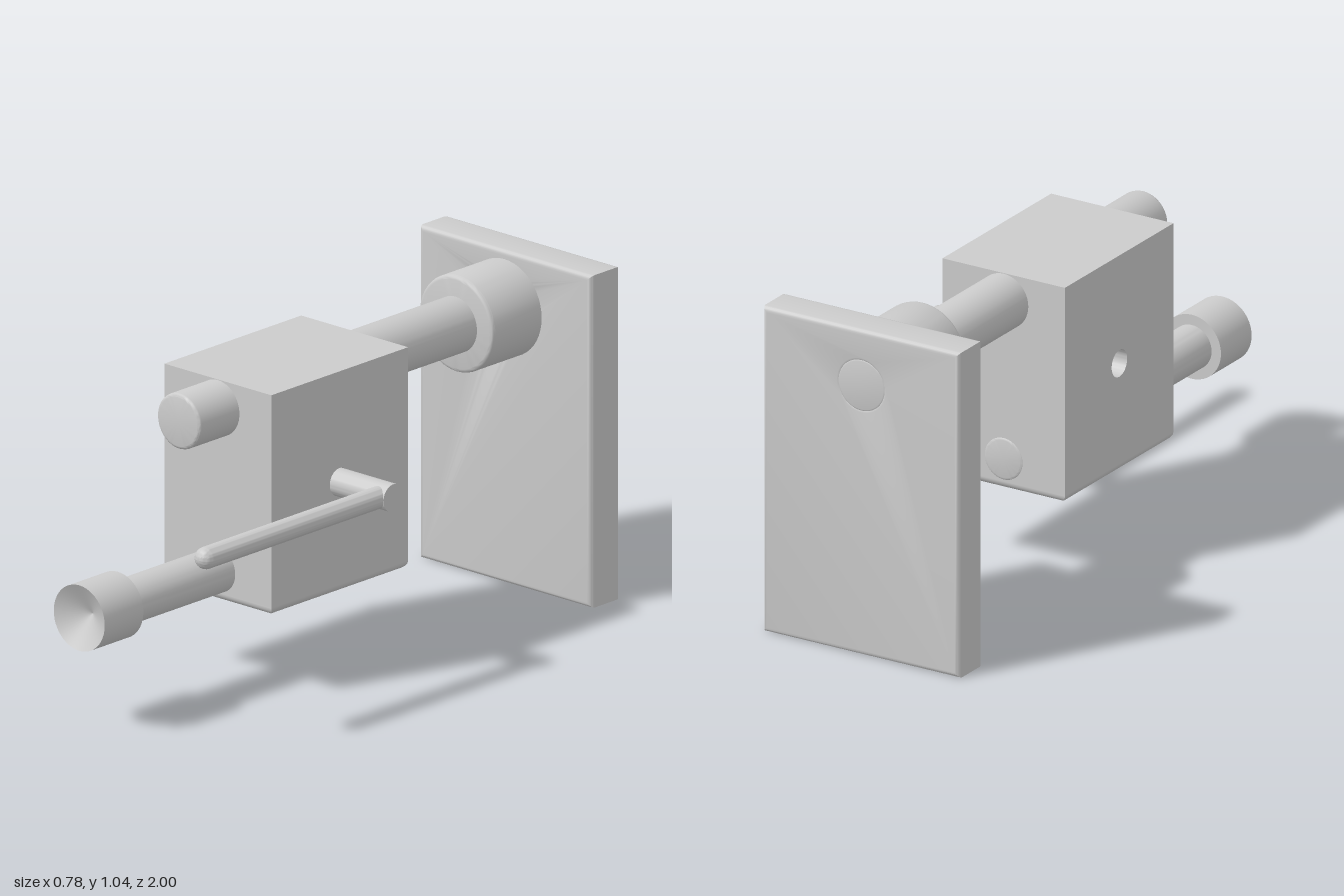
import * as THREE from 'three';
import { toCreasedNormals } from 'three/addons/utils/BufferGeometryUtils.js';

const material = new THREE.MeshStandardMaterial({ color: 0xcccccc });
const AXIS_X = -0.045; // shared x of the rods, block and plate

function part(name, geometry) {
  const mesh = new THREE.Mesh(toCreasedNormals(geometry, 0.62), material);
  mesh.name = name;
  return mesh;
}

// Turned profile along y from a to b, with rounded rims of radius ra and rb
function turned(r, a, b, ra, rb) {
  const pts = [new THREE.Vector2(0, a)];
  const arc = (c, y, sign, from, to) => {
    const n = c > 0.02 ? 8 : c > 0 ? 3 : 0;
    for (let i = 0; i <= n; i++) {
      const t = n ? from + ((to - from) * i) / n : 0;
      const x = Math.max(0, r - c + c * Math.cos(t));
      pts.push(new THREE.Vector2(x, y + sign * c * Math.sin(t)));
    }
  };
  arc(ra, a + ra, -1, Math.PI / 2, 0);
  arc(rb, b - rb, 1, 0, Math.PI / 2);
  pts.push(new THREE.Vector2(0, b));
  return new THREE.LatheGeometry(pts, 48);
}

const rodZ = (name, x, y, r, z0, z1, ra = 0, rb = 0) =>
  part(name, turned(r, z0, z1, ra, rb).rotateX(Math.PI / 2).translate(x, y, 0));

function rectangle(x0, y0, x1, y1) {
  return new THREE.Shape([[x0, y0], [x1, y0], [x1, y1], [x0, y1]]
    .map(([x, y]) => new THREE.Vector2(x, y)));
}

function addHole(shape, x, y, r) {
  shape.holes.push(new THREE.Path().absarc(x, y, r, 0, Math.PI * 2, true));
}

// Slab of given thickness from z = 0, edges filleted on both faces
function filletedSlab(shape, thickness, fillet) {
  return new THREE.ExtrudeGeometry(shape, {
    depth: thickness - 2 * fillet, bevelThickness: fillet, bevelSize: fillet,
    bevelOffset: -fillet, bevelSegments: 4, curveSegments: 24,
  }).translate(0, 0, fillet);
}

export function createModel() {
  const group = new THREE.Group();

  // Upright mounting plate, with the rod end showing flush in its back
  const plateShape = rectangle(-0.39, 0, 0.305, 1.045);
  addHole(plateShape, AXIS_X, 0.868, 0.071);
  group.add(part('mountingPlate', filletedSlab(plateShape, 0.13, 0.016).translate(0, 0, -1)));

  // Collar and main rod
  group.add(rodZ('collar', AXIS_X, 0.868, 0.151, -0.88, -0.655, 0, 0.012));
  group.add(rodZ('mainRod', AXIS_X, 0.868, 0.087, -1, 0.565, 0.01, 0.01));

  // Sliding block with a cross hole, its lower edges filleted
  const fillet = 0.025, bottom = 0.263, z0 = -0.212, z1 = 0.39;
  const x0 = -0.261, x1 = 0.171;
  const side = rectangle(-z1, bottom + fillet, -z0, 0.957);
  addHole(side, -0.09, 0.61, 0.043);
  group.add(part('block', new THREE.ExtrudeGeometry(side, {
    depth: x1 - x0, bevelEnabled: false, curveSegments: 24,
  }).rotateY(Math.PI / 2).translate(x0, 0, 0)));
  const base = filletedSlab(rectangle(x0, z0, x1, z1), 2 * fillet + 0.001, fillet);
  group.add(part('blockBase', base.rotateX(Math.PI / 2)
    .translate(0, bottom + 2 * fillet, 0)));

  // Lower rod with a hollow conical cup at the front
  group.add(rodZ('lowerRod', AXIS_X, 0.36, 0.07, z0 - 0.003, 0.85, 0.01, 0));
  const cup = [[0, 0.83], [0.103, 0.83], [0.103, 1], [0, 0.94]]
    .map(([r, z]) => new THREE.Vector2(r, z));
  group.add(part('cup', new THREE.LatheGeometry(cup, 48)
    .rotateX(Math.PI / 2).translate(AXIS_X, 0.36, 0)));

  // Clamping lever: cross shaft and round-ended handle
  group.add(part('leverShaft', turned(0.043, -0.16, 0.388, 0, 0)
    .rotateZ(-Math.PI / 2).translate(0, 0.609, 0.09)));
  group.add(rodZ('leverHandle', 0.353, 0.61, 0.034, 0.09, 0.91, 0, 0.034));

  return group;
}
